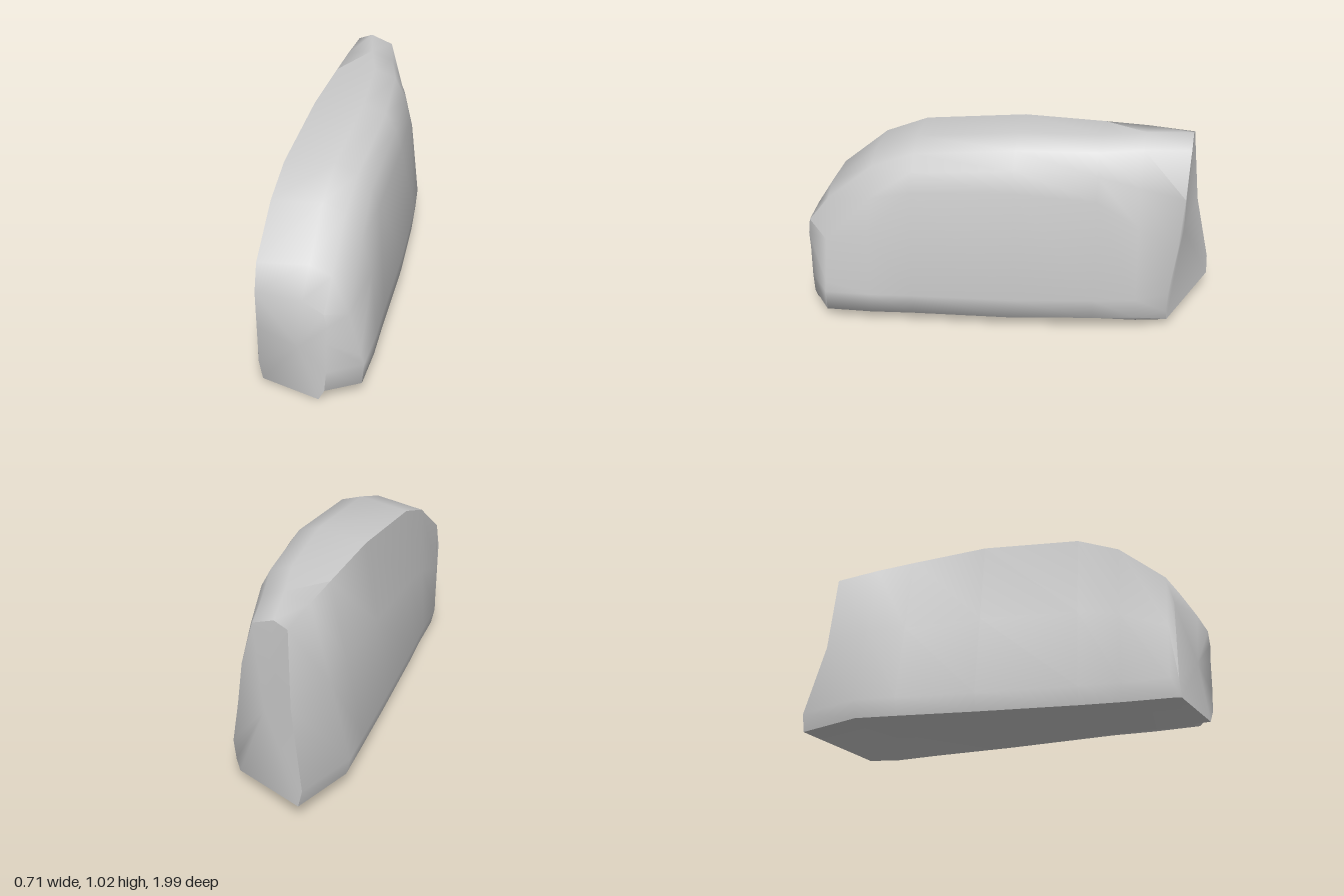
import * as THREE from 'three';
import { toCreasedNormals } from 'three/addons/utils/BufferGeometryUtils.js';

// Stations from front to back:
// z, lean, leftX, leftY, bottomY, topY, topRightX, sideX, shoulderX, shoulderY, leftHollow
const stations = [
  [0.957, 0.2, -0.15, 0.11, 0.0, 0.53, 0.19, 0.2, 0.2, 0.33, 0],
  [0.89, 0, -0.165, 0.11, 0.0, 0.67, 0.2, 0.352, 0.335, 0.22, 0],
  [0.66, 0, -0.19, 0.115, 0.005, 0.87, 0.2, 0.35, 0.325, 0.53, 0],
  [0.45, 0, -0.22, 0.12, 0.01, 0.96, 0.2, 0.335, 0.305, 0.76, 0],
  [-0.05, 0, -0.285, 0.14, 0.015, 1.02, 0.2, 0.305, 0.285, 0.79, 0],
  [-0.45, 0, -0.335, 0.16, 0.03, 1.015, 0.15, 0.265, 0.23, 0.75, 0],
  [-0.66, 0, -0.36, 0.17, 0.035, 1.01, 0.08, 0.235, 0.195, 0.6, 0],
  [-0.885, 0.48, -0.27, 0.18, 0.05, 0.995, 0.02, 0.18, 0.13, 0.45, 0.03],
];

// One cross-section, counter-clockwise seen from the front
function section([z, lean, lx, ly, by, ty, tx, sx, ux, uy, hollow]) {
  const ring = [
    [lx + 0.02, ly - 0.09],                                 // bottom left
    [Math.min(0.16, sx - 0.03), by],                        // keel
    [sx - 0.01, by + 0.06],                                 // lower right bevel
    [sx, by + 0.17],                                        // right side
    [ux, uy],                                               // right shoulder
    [(ux + tx) / 2 + 0.012, (uy + ty - 0.04) / 2 + 0.012],  // rounded shoulder
    [tx, ty - 0.04],                                        // top right
    [tx - 0.11, ty],                                        // crown
    [-0.16, ty - 0.03],                                     // sharp top left edge
    [(lx - 0.16) / 2 + hollow, (ly + ty - 0.03) / 2],       // left side
    [lx, ly],                                               // lower left
  ];
  // end sections lean: the back one only near the ground
  return ring.map(([x, y]) => [x, y, z + lean * x * (z < 0 ? 1 - y : 1)]);
}

function rockGeometry() {
  const rings = stations.map(section);
  const n = rings[0].length;
  const positions = rings.flat(2);
  const index = [];
  for (let i = 0; i < rings.length - 1; i++) {
    for (let j = 0; j < n; j++) {
      const a = i * n + j, b = i * n + (j + 1) % n;
      index.push(a, a + n, b, b, a + n, b + n);
    }
  }
  // End caps, the back one slightly hollow
  const cap = (i, push, flip) => {
    const centre = [0, 1, 2].map(k => rings[i].reduce((s, p) => s + p[k], 0) / n);
    centre[2] += push;
    const c = positions.length / 3;
    positions.push(...centre);
    for (let j = 0; j < n; j++) {
      const a = i * n + j, b = i * n + (j + 1) % n;
      index.push(c, flip ? b : a, flip ? a : b);
    }
  };
  cap(0, 0, false);
  cap(rings.length - 1, 0.015, true);

  const geometry = new THREE.BufferGeometry();
  geometry.setAttribute('position', new THREE.Float32BufferAttribute(positions, 3));
  geometry.setIndex(index);
  return toCreasedNormals(geometry, 1.2);
}

export function createModel() {
  const group = new THREE.Group();
  const rock = new THREE.Mesh(rockGeometry(), new THREE.MeshStandardMaterial({ color: 0xcccccc }));
  rock.name = 'rock';
  group.add(rock);
  return group;
}
